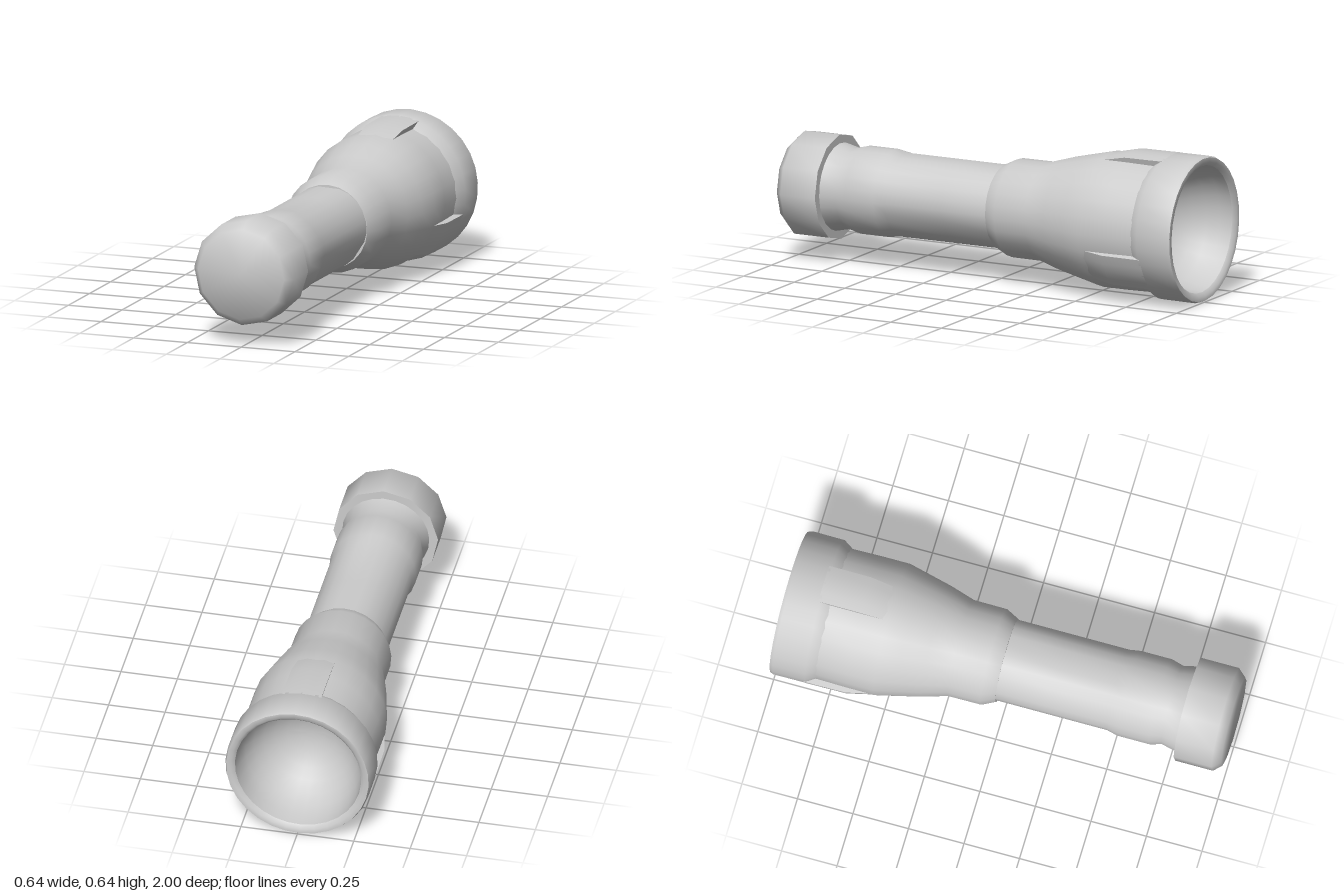
import * as THREE from 'three';
import { toCreasedNormals } from 'three/addons/utils/BufferGeometryUtils.js';

const AXIS_Y = 0.323;
const RIB_ANGLES = [87.5, 207.5, 327.5].map(THREE.MathUtils.degToRad);
const material = new THREE.MeshStandardMaterial({ color: 0xcccccc });

// Skins a grid of points (rows run from +z to -z, columns counter-clockwise)
function skin(rows, crease) {
  const n = rows[0].length;
  const index = [];
  for (let i = 0; i < rows.length - 1; i++) {
    for (let j = 0; j < n - 1; j++) {
      const a = i * n + j, b = a + 1, c = a + n, d = c + 1;
      index.push(a, c, b, b, c, d);
    }
  }
  const geometry = new THREE.BufferGeometry();
  geometry.setAttribute('position', new THREE.Float32BufferAttribute(rows.flat(2), 3));
  geometry.setIndex(index);
  return toCreasedNormals(geometry, crease);
}

// Surface around the z axis; profile is [z, radius], rule may reshape the radius
function turned(name, profile, sides, crease = 0.9, rule = (r) => r) {
  const rows = profile.map(([z, r]) => {
    const row = [];
    for (let j = 0; j <= sides; j++) {
      const a = RIB_ANGLES[0] + ((j % sides) / sides) * Math.PI * 2;
      const q = rule(r, a, z);
      row.push([Math.cos(a) * q, Math.sin(a) * q, z]);
    }
    return row;
  });
  const mesh = new THREE.Mesh(skin(rows, crease), material);
  mesh.name = name;
  return mesh;
}

// Three shallow flats cut along the middle of the handle
function gripFlats(r, a, z) {
  if (z > 0.5) return r;
  for (const c of RIB_ANGLES) {
    const d = Math.cos(a - c);
    if (d > 0.7) r = Math.min(r, 0.174 / d);
  }
  return r;
}

// Raised rib running from the head's shoulder to the bezel
function rib(angle) {
  const half = 0.275;
  const rows = [[-0.54, 0.292], [-0.66, 0.319], [-0.85, 0.321]].map(([z, r]) => {
    const row = [];
    const add = (t, q) => row.push([Math.cos(angle + t) * q, Math.sin(angle + t) * q, z]);
    add(-half, 0.27);
    for (let k = -2; k <= 2; k++) add((k / 2) * half, r);
    add(half, 0.27);
    return row;
  });
  const mesh = new THREE.Mesh(skin(rows, 0.7), material);
  mesh.name = 'headRib';
  return mesh;
}

export function createModel() {
  const group = new THREE.Group();
  group.name = 'flashlight';

  // Tail cap with a bevelled end
  group.add(turned('tailCap', [
    [1, 0], [1, 0.2], [0.965, 0.232], [0.795, 0.232], [0.795, 0.17],
  ], 12, 1.0));

  // Handle with a neck behind the cap
  group.add(turned('handle', [
    [0.8, 0.194], [0.725, 0.177], [0.67, 0.192], [0.53, 0.192],
    [0.48, 0.184], [0.2, 0.184], [-0.04, 0.184],
  ], 24, 0.6, gripFlats));

  // Flared head
  group.add(turned('head', [
    [-0.02, 0.16], [-0.02, 0.186], [-0.08, 0.216], [-0.23, 0.217],
    [-0.34, 0.25], [-0.45, 0.276], [-0.54, 0.297], [-0.66, 0.297], [-0.82, 0.294],
  ], 24, 0.8));

  for (const angle of RIB_ANGLES) group.add(rib(angle));

  // Bezel with a rounded rim
  group.add(turned('bezel', [
    [-0.79, 0.289], [-0.84, 0.321], [-0.985, 0.322], [-1, 0.316],
    [-1, 0.295], [-0.985, 0.28],
  ], 30, 1.0));

  // Concave reflector bowl
  const bowl = [];
  for (let i = 0; i <= 8; i++) {
    const t = (i / 8) * Math.PI / 2;
    bowl.push([-0.985 + 0.3 * Math.sin(t), 0.28 * Math.cos(t)]);
  }
  group.add(turned('reflector', bowl, 30, 1.0));

  group.position.y = AXIS_Y;
  const model = new THREE.Group();
  model.add(group);
  return model;
}
